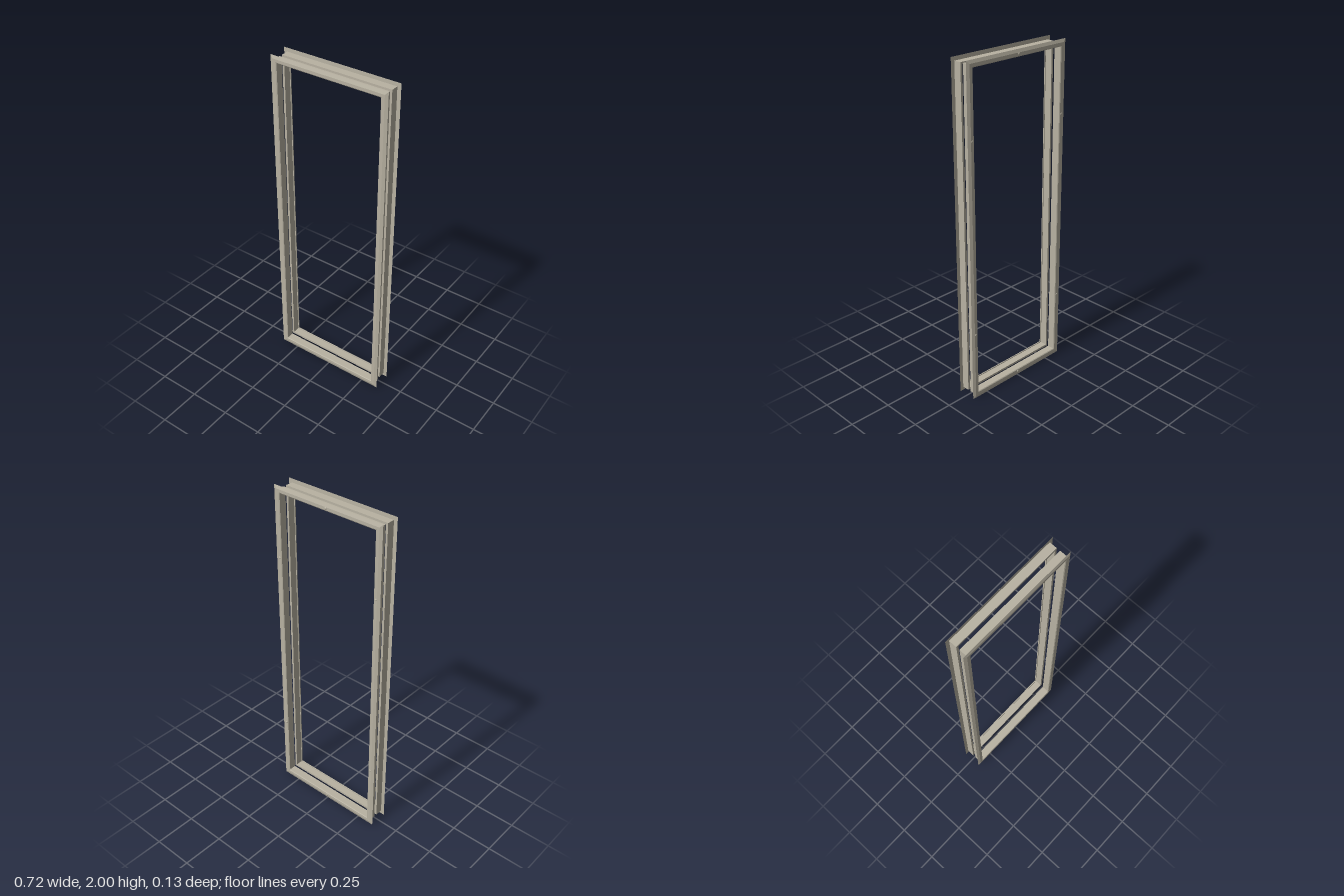
import * as THREE from 'three';
import { toCreasedNormals } from 'three/addons/utils/BufferGeometryUtils.js';

const HALF_W = 0.362, HALF_H = 1;

// Section as [distance in from the outer edge, z]: flange front, inner lip, stepped wall, back, outer wall
const SECTION = [
  [0, 0.056], [0.018, 0.062], [0.035, 0.062], [0.04, 0.059], [0.04, 0.053],
  [0.035, 0.053], [0.035, 0.01], [0.022, 0.01], [0.022, 0.055],
];

// Sweeps the section around a rectangle with mitred corners
function frameGeometry() {
  const corners = [[1, 1], [-1, 1], [-1, -1], [1, -1]];
  const point = ([sx, sy], [d, z]) => [sx * (HALF_W - d), sy * (HALF_H - d), z];
  const positions = [];
  corners.forEach((corner, i) => {
    const next = corners[(i + 1) % 4];
    SECTION.forEach((p, j) => {
      const q = SECTION[(j + 1) % SECTION.length];
      const a = point(corner, p), b = point(next, p), c = point(next, q), d = point(corner, q);
      positions.push(...a, ...b, ...c, ...a, ...c, ...d);
    });
  });
  const geometry = new THREE.BufferGeometry();
  geometry.setAttribute('position', new THREE.Float32BufferAttribute(positions, 3));
  return toCreasedNormals(geometry, 0.3);
}

export function createModel() {
  const model = new THREE.Group();
  model.name = 'windowFrame';
  const metal = new THREE.MeshStandardMaterial({ color: 0xb8b2a2 });
  metal.name = 'warm grey metal';

  // Two facing frame halves with a gap between them
  const geometry = frameGeometry();
  const front = new THREE.Group(), back = new THREE.Group();
  front.name = 'frontHalf';
  back.name = 'backHalf';
  back.rotation.y = Math.PI;
  for (const half of [front, back]) {
    const frame = new THREE.Mesh(geometry, metal);
    frame.name = 'flangedFrame';
    half.add(frame);
    half.position.y = HALF_H;
    model.add(half);
  }

  // Low domed screw heads on the back flange
  const dome = new THREE.SphereGeometry(0.007, 16, 6, 0, Math.PI * 2, 0, Math.PI / 2);
  dome.rotateX(Math.PI / 2).scale(1, 1, 0.5);
  const spots = [[0, 0.975], [0, -0.975]];
  for (const side of [-1, 1]) for (const y of [0.58, -0.57]) spots.push([side * 0.336, y]);
  for (const [x, y] of spots) {
    const screw = new THREE.Mesh(dome, metal);
    screw.name = 'screwHead';
    screw.position.set(x, y, 0.0618);
    back.add(screw);
  }
  return model;
}
